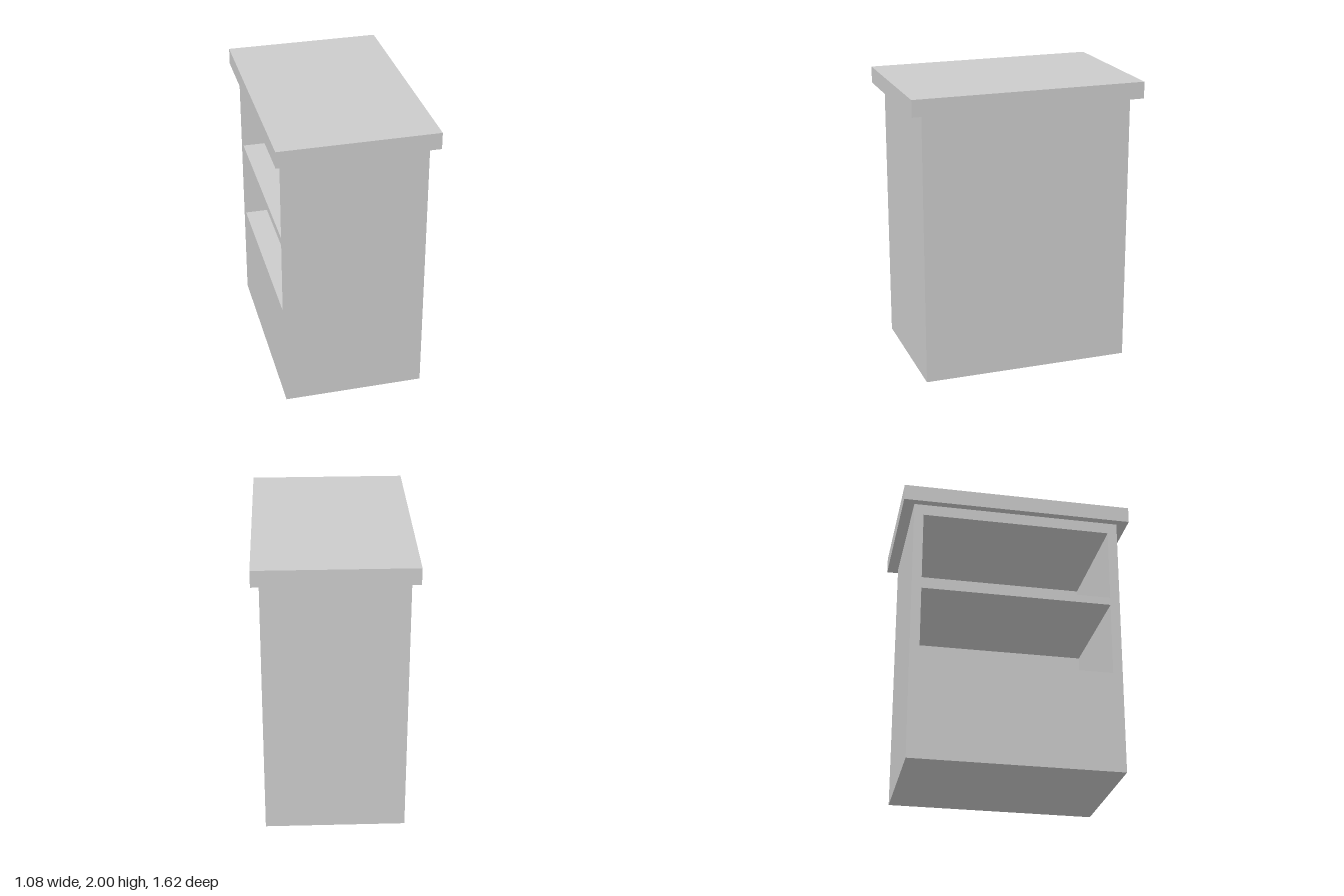
import * as THREE from 'three';

const WIDTH = 0.97, DEPTH = 1.46, BODY_TOP = 1.885, WALL = 0.067;

export function createModel() {
  const group = new THREE.Group();
  const material = new THREE.MeshStandardMaterial({ color: 0xcccccc });

  const add = (name, geometry, x, y, z) => {
    const mesh = new THREE.Mesh(geometry, material);
    mesh.name = name;
    mesh.position.set(x, y, z);
    group.add(mesh);
  };

  const rectangle = (target, halfWidth, bottom, top) => {
    target.moveTo(-halfWidth, bottom);
    target.lineTo(halfWidth, bottom);
    target.lineTo(halfWidth, top);
    target.lineTo(-halfWidth, top);
    target.closePath();
    return target;
  };

  // Cabinet body: side profile with two shelf openings, extruded along x
  const profile = rectangle(new THREE.Shape(), DEPTH / 2, 0, BODY_TOP);
  for (const [bottom, top] of [[0.71, 1.23], [1.285, 1.805]]) {
    profile.holes.push(rectangle(new THREE.Path(), DEPTH / 2 - WALL, bottom, top));
  }
  const body = new THREE.ExtrudeGeometry(profile, { depth: WIDTH - WALL, bevelEnabled: false });
  body.rotateY(Math.PI / 2);
  add('cabinetBody', body, -WIDTH / 2, 0, 0);

  // Panel closing the shelves on the far side
  add('shelfBackPanel', new THREE.BoxGeometry(WALL, BODY_TOP, DEPTH),
    WIDTH / 2 - WALL / 2, BODY_TOP / 2, 0);

  // Overhanging countertop
  const thickness = 2 - BODY_TOP;
  add('countertop', new THREE.BoxGeometry(1.075, thickness, 1.615), 0, BODY_TOP + thickness / 2, 0);

  return group;
}
